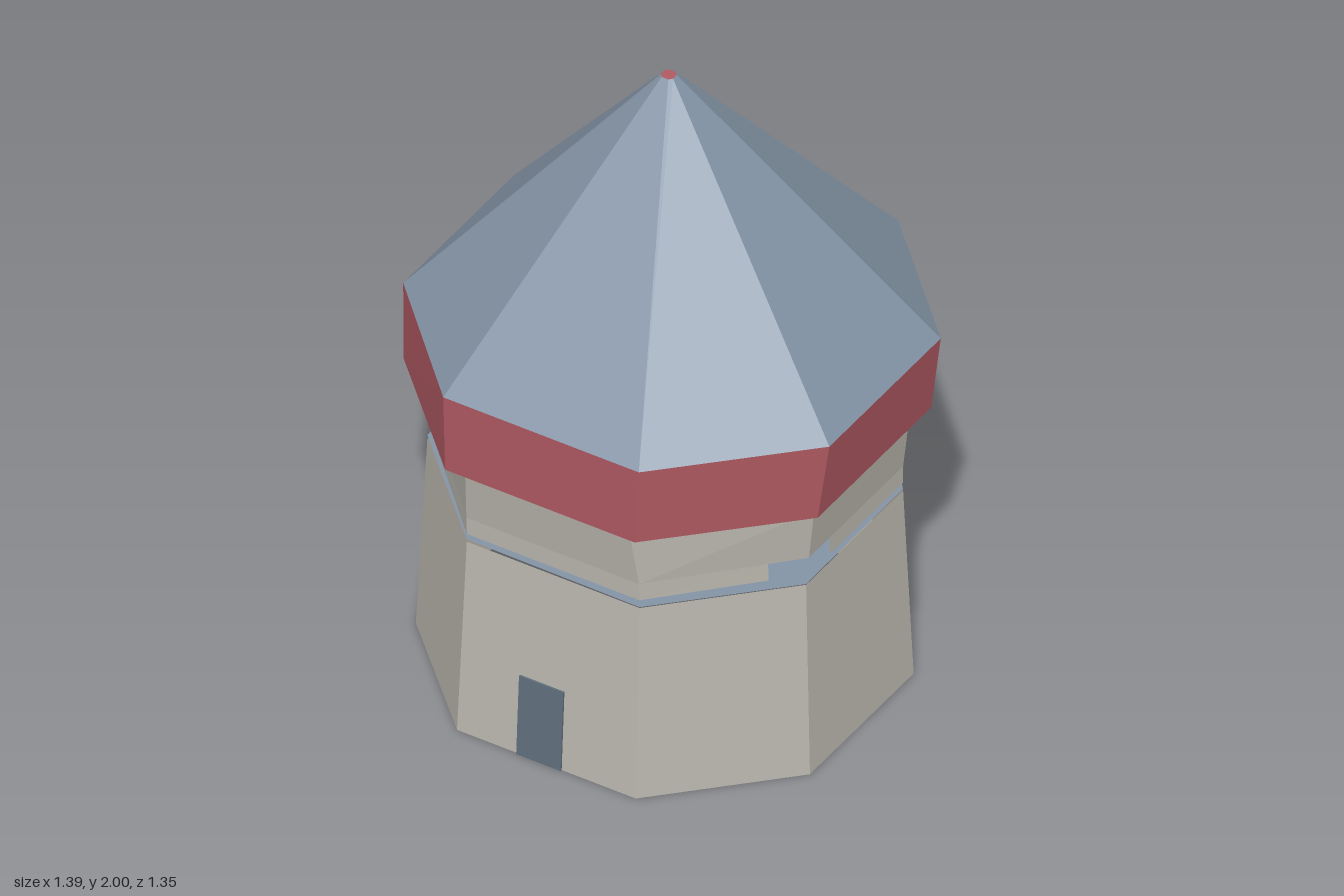
import * as THREE from 'three';

// Eight-sided ring: x and z each give [min, inner min, inner max, max]
function ring(y, x, z) {
  return [
    [x[1], z[3]], [x[2], z[3]], [x[3], z[2]], [x[3], z[1]],
    [x[2], z[0]], [x[1], z[0]], [x[0], z[1]], [x[0], z[2]],
  ].map(([px, pz]) => new THREE.Vector3(px, y, pz));
}

// Wall panels between two rings; keep(i) lists the [from, to] spans built on side i
function skin(lower, upper, keep = () => [[0, 1]]) {
  const pos = [];
  const n = lower.length;
  for (let i = 0; i < n; i++) {
    const j = (i + 1) % n;
    for (const [s, e] of keep(i)) {
      const a = lower[i].clone().lerp(lower[j], s), b = lower[i].clone().lerp(lower[j], e);
      const c = upper[i].clone().lerp(upper[j], e), d = upper[i].clone().lerp(upper[j], s);
      for (const p of [a, b, c, a, c, d]) pos.push(p.x, p.y, p.z);
    }
  }
  return toGeometry(pos);
}

// Flat lid fanned from the middle of a ring
function lid(points) {
  const mid = new THREE.Vector3();
  points.forEach((p) => mid.addScaledVector(p, 1 / points.length));
  const pos = [];
  points.forEach((p, i) => {
    const q = points[(i + 1) % points.length];
    for (const v of [mid, p, q]) pos.push(v.x, v.y, v.z);
  });
  return toGeometry(pos);
}

function toGeometry(pos) {
  const geo = new THREE.BufferGeometry();
  geo.setAttribute('position', new THREE.Float32BufferAttribute(pos, 3));
  geo.computeVertexNormals();
  return geo;
}

export function createModel() {
  const group = new THREE.Group();
  group.name = 'tower';
  const paint = (color) => new THREE.MeshStandardMaterial({ color, flatShading: true, side: THREE.DoubleSide });
  const stone = paint(0xbab7ae), slate = paint(0x8494a6), red = paint(0xb05a62), dark = paint(0x606e7b);
  const add = (name, geo, mat) => {
    const mesh = new THREE.Mesh(geo, mat);
    mesh.name = name;
    group.add(mesh);
    return mesh;
  };

  // Cross-sections from the ground up
  const base = ring(0, [-0.665, -0.31, 0.275, 0.625], [-0.605, -0.255, 0.285, 0.635]);
  const wallTop = ring(0.64, [-0.64, -0.3, 0.265, 0.6], [-0.59, -0.24, 0.265, 0.6]);
  const neckBottom = ring(0.667, [-0.64, -0.3, 0.265, 0.6], [-0.59, -0.24, 0.25, 0.6]);
  const neckLine = ring(0.725, [-0.64, -0.3, 0.265, 0.6], [-0.59, -0.24, 0.25, 0.602]);
  const neckTop = ring(0.9, [-0.65, -0.29, 0.25, 0.62], [-0.605, -0.24, 0.255, 0.625]);
  const eaveBottom = ring(0.922, [-0.695, -0.33, 0.29, 0.66], [-0.65, -0.29, 0.3, 0.665]);
  const eaveTop = ring(1.182, [-0.7, -0.33, 0.31, 0.695], [-0.675, -0.285, 0.295, 0.675]);
  const peak = ring(2, [-0.036, -0.027, -0.005, 0.004], [-0.02, -0.01, 0.01, 0.02]);

  // Lower wall, open at the ground
  add('lowerWall', skin(base, wallTop), stone);

  // Slightly tilted floor in the gap between lower wall and neck
  const floorRing = wallTop.map((p) => new THREE.Vector3(p.x, 0.651 - 0.01 * p.x - 0.009 * p.z, p.z));
  add('floor', lid(floorRing), slate);

  // Neck course with three look-out slots: two round the corners, one at the back
  const slots = {
    1: [[0, 0.76]], 2: [[0.22, 1]],
    4: [[0, 0.36], [0.59, 1]],
    6: [[0, 0.78]], 7: [[0.24, 1]],
  };
  add('slottedCourse', skin(neckBottom, neckLine, (i) => slots[i] || [[0, 1]]), stone);
  add('neck', skin(neckLine, neckTop), stone);

  // Soffit under the eave, slate on the two back corners
  const backCorner = (i) => i === 3 || i === 5;
  add('soffit', skin(neckTop, eaveBottom, (i) => (backCorner(i) ? [] : [[0, 1]])), stone);
  add('slateSoffit', skin(neckTop, eaveBottom, (i) => (backCorner(i) ? [[0, 1]] : [])), slate);

  // Red band, pointed roof and its small cap
  add('eaveBand', skin(eaveBottom, eaveTop), red);
  add('roof', skin(eaveTop, peak), slate);
  add('roofCap', lid(peak), red);

  // Door leaning with the front wall
  const door = add('door', new THREE.BoxGeometry(0.145, 0.265, 0.01), dark);
  door.position.set(-0.04, 0.1325, 0.629);
  door.rotation.x = -Math.atan2(0.035, 0.64);

  return group;
}
